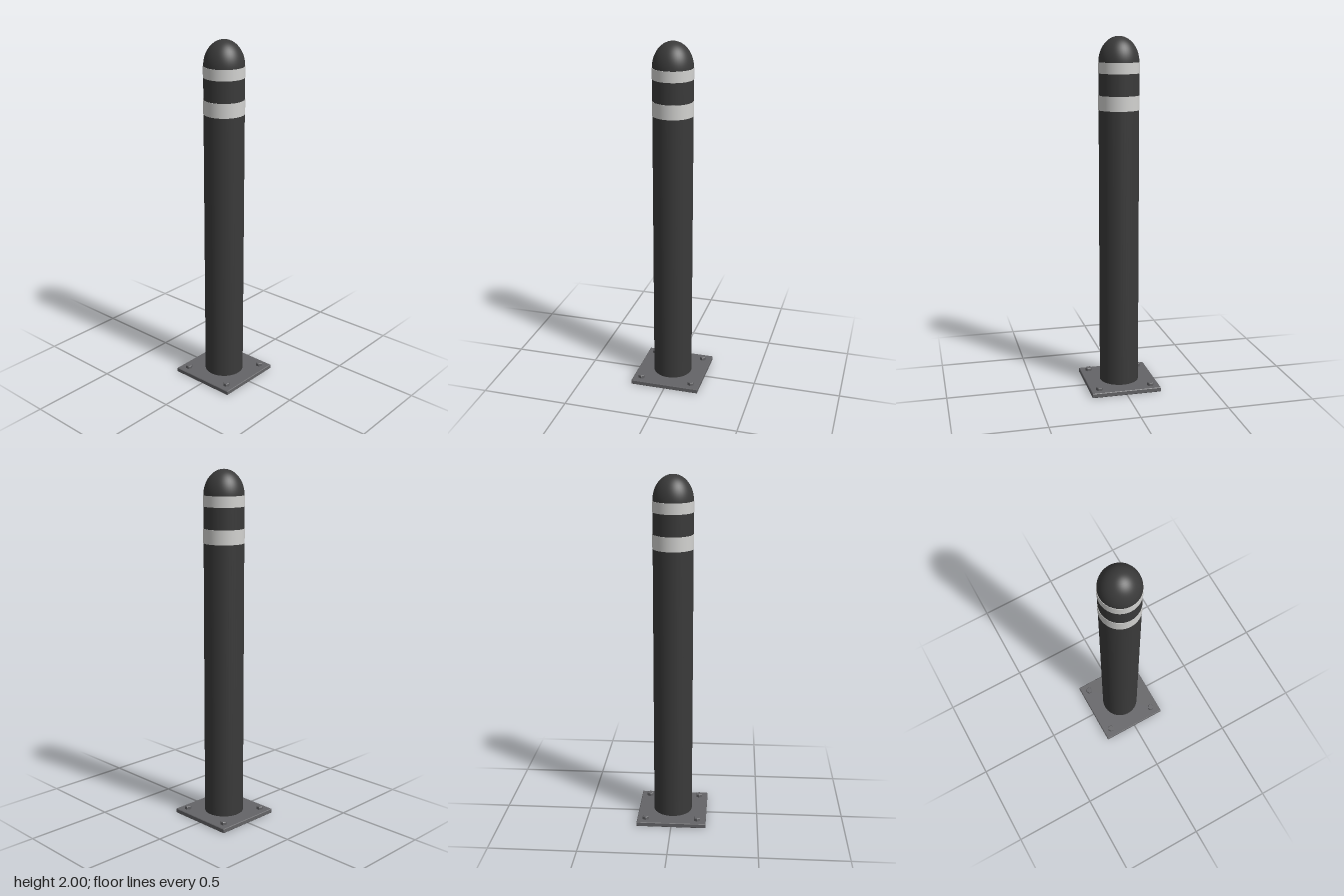
import * as THREE from 'three';

const SEG = 48;
const RADIUS = 0.112;

export function createModel() {
  const model = new THREE.Group();
  model.name = 'bollard';
  const black = new THREE.MeshStandardMaterial({ name: 'black paint', color: 0x3a3a3a });
  const white = new THREE.MeshStandardMaterial({ name: 'reflective white', color: 0xd2d2d0 });
  const steel = new THREE.MeshStandardMaterial({ name: 'grey steel', color: 0x646467 });

  const add = (name, geometry, material, x = 0, y = 0, z = 0) => {
    const mesh = new THREE.Mesh(geometry, material);
    mesh.name = name;
    mesh.position.set(x, y, z);
    model.add(mesh);
    return mesh;
  };

  // Base plate with a small bevel on every edge
  const b = 0.003, h = 0.2 - b, t = 0.026;
  const square = new THREE.Shape([
    new THREE.Vector2(-h, -h), new THREE.Vector2(h, -h),
    new THREE.Vector2(h, h), new THREE.Vector2(-h, h),
  ]);
  const plate = new THREE.ExtrudeGeometry(square, {
    depth: t - 2 * b, bevelEnabled: true, bevelThickness: b, bevelSize: b, bevelSegments: 1,
  });
  plate.rotateX(-Math.PI / 2);
  add('basePlate', plate, steel, 0, b, 0);

  // Straight post
  const postTop = 1.86;
  add('post', new THREE.CylinderGeometry(RADIUS, RADIUS, postTop - t, SEG, 1, true),
    black, 0, (postTop + t) / 2, 0);

  // Domed cap, slightly taller than a hemisphere
  const dome = new THREE.SphereGeometry(RADIUS, SEG, 16, 0, Math.PI * 2, 0, Math.PI / 2);
  dome.scale(1, (2 - postTop) / RADIUS, 1);
  add('domeCap', dome, black, 0, postTop, 0);

  // Raised reflective bands, closed at their rims
  for (const [name, y0, y1] of [['lowerBand', 1.6, 1.68], ['upperBand', 1.8, 1.86]]) {
    const r = RADIUS + 0.002;
    add(name, new THREE.CylinderGeometry(r, r, y1 - y0, SEG, 1, true), white, 0, (y0 + y1) / 2, 0);
    for (const [y, turn] of [[y0, Math.PI / 2], [y1, -Math.PI / 2]]) {
      const rim = new THREE.RingGeometry(RADIUS - 0.001, r, SEG);
      rim.rotateX(turn);
      add(name + 'Rim', rim, white, 0, y, 0);
    }
  }

  // Hexagonal anchor bolts with chamfered heads
  const headProfile = [[0.02, 0], [0.02, 0.015], [0.0175, 0.018], [0, 0.018]]
    .map(([r, y]) => new THREE.Vector2(r, y));
  const head = new THREE.LatheGeometry(headProfile, 6).toNonIndexed();
  head.computeVertexNormals();
  for (const x of [-0.15, 0.15]) {
    for (const z of [-0.15, 0.15]) add('anchorBolt', head, steel, x, t, z);
  }

  return model;
}
